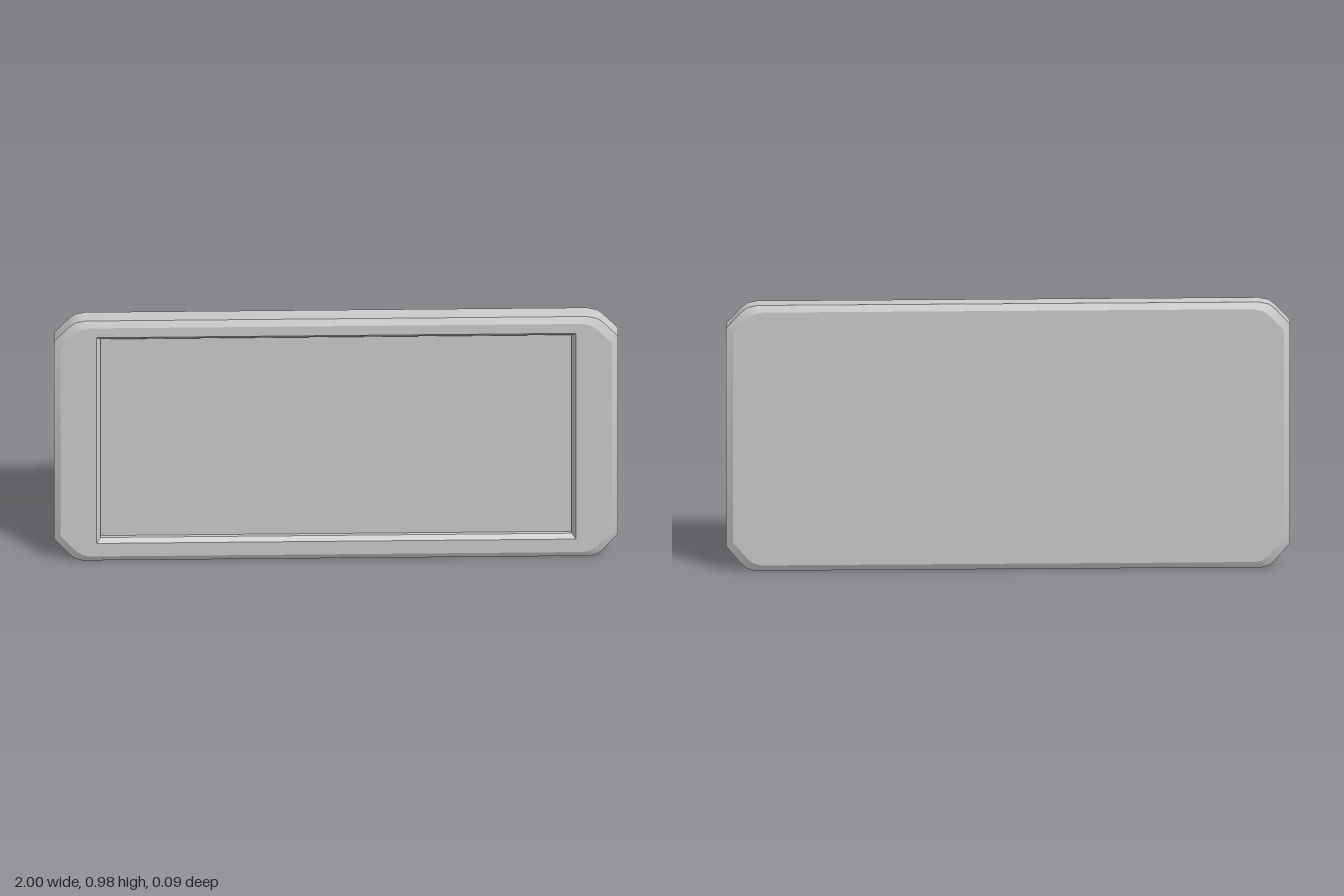
import * as THREE from 'three';
import { toCreasedNormals } from 'three/addons/utils/BufferGeometryUtils.js';

const H = 0.975, MID = H / 2;
const material = new THREE.MeshStandardMaterial({ color: 0xcccccc });

// Skin a stack of equal-length closed rings [{ pts, z }], listed front to back.
// Counter-clockwise rings face outward, clockwise rings face inward.
function loft(rings) {
  const pos = [];
  for (let r = 0; r < rings.length - 1; r++) {
    const a = rings[r], b = rings[r + 1], n = a.pts.length;
    for (let i = 0; i < n; i++) {
      const j = (i + 1) % n;
      const A = [...a.pts[i], a.z], B = [...b.pts[i], b.z];
      const C = [...b.pts[j], b.z], D = [...a.pts[j], a.z];
      pos.push(...A, ...B, ...C, ...A, ...C, ...D);
    }
  }
  const g = new THREE.BufferGeometry();
  g.setAttribute('position', new THREE.Float32BufferAttribute(pos, 3));
  return toCreasedNormals(g, 0.5);
}

// Clipped-corner outline, counter-clockwise, pulled in by an inset
function outline(inset) {
  const lower = [[0.9, 0], [0.925, 0.008], [0.945, 0.024], [1, 0.09]];
  const upper = [[1, 0.893], [0.945, 0.952], [0.925, 0.967], [0.89, H]];
  const right = [...lower, ...upper];
  const left = right.map(([x, y]) => [-x, y]).reverse();
  const sx = 1 - inset, sy = 1 - inset / MID;
  return [...right, ...left].map(([x, y]) => [x * sx, MID + (y - MID) * sy]);
}

// Screen opening, clockwise so its walls face inward
function opening(inset) {
  const x = 0.85 - inset, y0 = 0.076 + inset, y1 = 0.914 - inset;
  return [[-x, y0], [-x, y1], [x, y1], [x, y0]];
}

const toVectors = pts => pts.map(([x, y]) => new THREE.Vector2(x, y));

// Flat face at depth z, optionally with a hole
function face(pts, z, hole) {
  const shape = new THREE.Shape(toVectors(pts));
  if (hole) shape.holes.push(new THREE.Path(toVectors(hole)));
  return new THREE.ShapeGeometry(shape).translate(0, 0, z);
}

export function createModel() {
  const model = new THREE.Group();
  const add = (name, geometry) => {
    const mesh = new THREE.Mesh(geometry, material);
    mesh.name = name;
    model.add(mesh);
    return mesh;
  };

  const FRONT = 0.045, EDGE = 0.032, INSET = 0.023, FLOOR = 0.015;

  // Outer rim with a bevel on the front and back
  add('caseEdge', loft([
    { pts: outline(INSET), z: FRONT },
    { pts: outline(0), z: EDGE },
    { pts: outline(0), z: -EDGE },
    { pts: outline(INSET), z: -FRONT },
  ]));

  // Front frame around the screen
  add('frontFrame', face(outline(INSET), FRONT, opening(0)));

  // Bevelled lip and short straight wall of the recess
  add('screenLip', loft([
    { pts: opening(0), z: FRONT },
    { pts: opening(0.015), z: FRONT - 0.016 },
    { pts: opening(0.015), z: FLOOR },
  ]));

  // Sunken screen
  add('screen', face(opening(0.015), FLOOR));

  // Plain back, turned to face -z (the outline is symmetric in x)
  add('backPanel', face(outline(INSET), FRONT)).rotation.y = Math.PI;

  return model;
}
